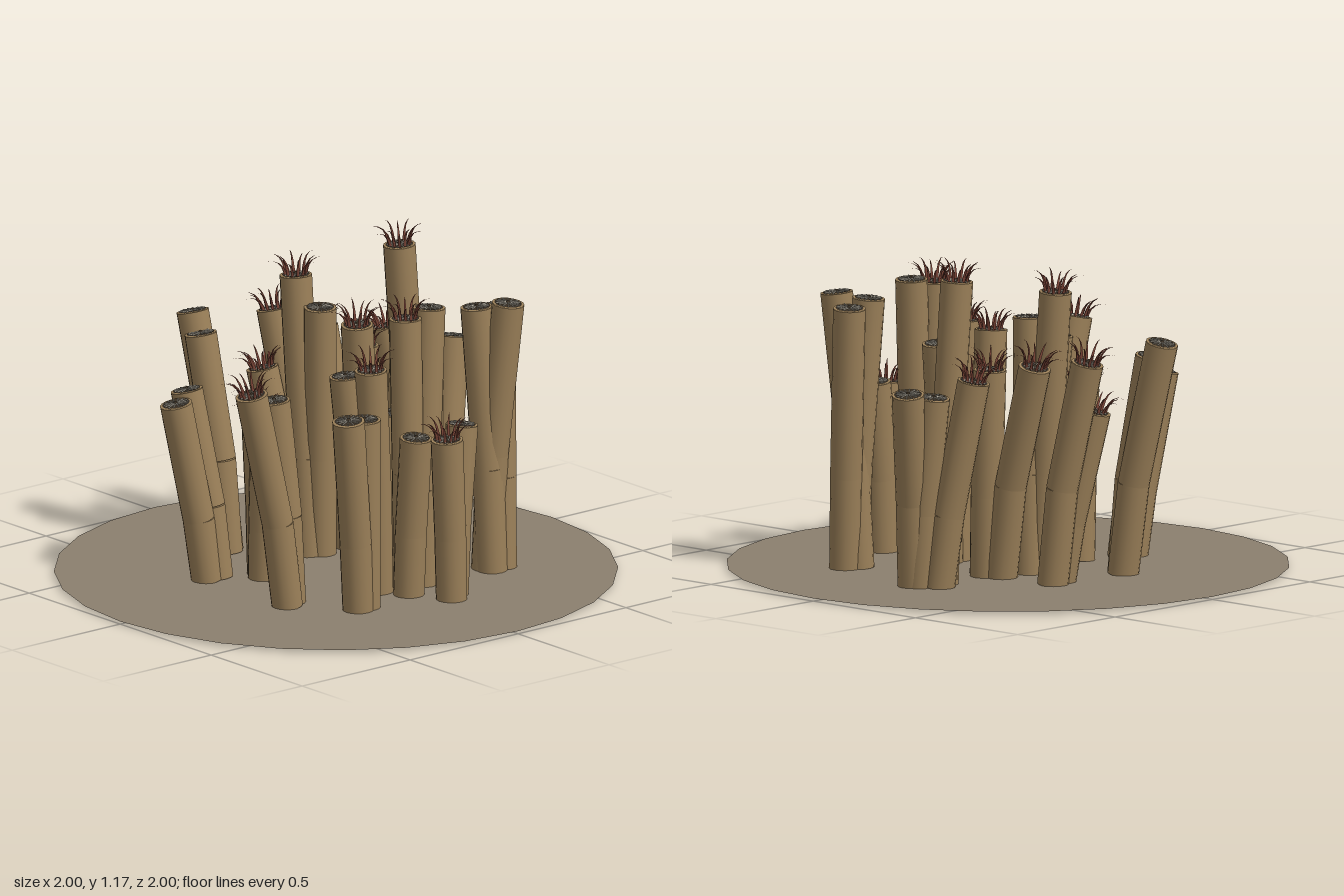
import * as THREE from 'three';
import { mergeGeometries } from 'three/addons/utils/BufferGeometryUtils.js';

const R = 0.058;

// Tube clusters: each tube is [topX, topY, topZ, baseX, baseZ, hasTentacles]
const CLUSTERS = {
  frontRight: [
    [-0.25, 0.67, 0.53, -0.2, 0.43, 0], [-0.31, 0.69, 0.43, -0.2, 0.38, 0],
  ],
  frontCentre: [
    [-0.1, 0.62, 0.28, -0.13, 0.23, 1], [-0.05, 0.56, 0.28, -0.09, 0.26, 0],
  ],
  frontLeft: [
    [0.2, 0.81, 0.56, 0.23, 0.42, 1], [0.17, 0.76, 0.43, 0.2, 0.38, 0],
  ],
  leftFront: [
    [0.46, 0.73, 0.33, 0.43, 0.26, 0], [0.43, 0.71, 0.23, 0.42, 0.22, 0],
  ],
  leftCentre: [
    [0.31, 0.84, 0.1, 0.3, 0.06, 1], [0.23, 0.81, 0.15, 0.27, 0.1, 0],
    [0.44, 0.6, 0.0, 0.4, 0.0, 0], [0.31, 1.0, -0.06, 0.34, -0.05, 1],
    [0.31, 1.02, -0.17, 0.33, -0.12, 0],
  ],
  leftOuter: [
    [0.55, 0.61, -0.05, 0.54, -0.08, 1], [0.49, 0.63, -0.17, 0.5, -0.12, 0],
  ],
  leftInner: [
    [0.16, 0.81, -0.19, 0.18, -0.12, 0], [0.19, 0.62, -0.08, 0.19, -0.07, 0],
  ],
  backLeft: [
    [0.4, 1.0, -0.46, 0.33, -0.42, 0], [0.29, 0.96, -0.51, 0.35, -0.47, 0],
    [0.31, 0.98, -0.39, 0.36, -0.42, 0],
  ],
  backCentre: [
    [-0.15, 1.1, -0.42, -0.12, -0.46, 1], [-0.28, 0.76, -0.47, -0.16, -0.52, 1],
    [-0.17, 0.7, -0.56, -0.1, -0.56, 0], [-0.14, 0.72, -0.66, -0.08, -0.57, 0],
  ],
  centre: [
    [-0.05, 0.88, -0.14, -0.08, -0.2, 1], [-0.15, 0.76, -0.25, -0.12, -0.24, 1],
    [-0.35, 0.79, -0.23, -0.18, -0.22, 1],
  ],
  centreRight: [
    [-0.28, 1.03, -0.05, -0.21, -0.05, 1], [-0.17, 0.93, -0.07, -0.19, -0.09, 0],
  ],
  rightBack: [
    [-0.55, 0.82, -0.17, -0.41, -0.2, 1], [-0.5, 0.63, -0.08, -0.39, -0.14, 1],
  ],
  right: [
    [-0.61, 0.86, 0.15, -0.44, 0.13, 0], [-0.53, 0.8, 0.18, -0.42, 0.15, 0],
  ],
};

// Thin radial walls inside the mouth
function septaGeometry() {
  const parts = [];
  for (let i = 0; i < 14; i++) {
    const g = new THREE.BoxGeometry(0.036, 0.008, 0.0028);
    g.translate(0.027, 0, 0);
    g.rotateY((i / 14) * Math.PI * 2);
    parts.push(g);
  }
  return mergeGeometries(parts);
}

// Ring of tapered tentacles that rise from the mouth and curl outwards
function tentacleGeometry() {
  const parts = [];
  const n = 12;
  for (let i = 0; i < n; i++) {
    const g = new THREE.ConeGeometry(0.007, 1, 5, 5);
    const reach = i % 2 ? 0.055 : 0.068;
    const height = i % 2 ? 0.085 : 0.07;
    const p = g.attributes.position;
    for (let j = 0; j < p.count; j++) {
      const t = p.getY(j) + 0.5;
      p.setX(j, p.getX(j) + 0.036 + reach * t * t);
      p.setY(j, -0.012 + height * Math.sin(t * 1.7));
    }
    g.rotateY((i / n) * Math.PI * 2);
    g.computeVertexNormals();
    parts.push(g);
  }
  return mergeGeometries(parts);
}

export function createModel() {
  const mat = (name, color) => {
    const m = new THREE.MeshStandardMaterial({ color });
    m.name = name;
    return m;
  };
  const tan = mat('tan tube', 0x9b8059);
  const dark = mat('dark mouth', 0x3a3024);
  const pale = mat('pale septa', 0xc4bdae);
  const red = mat('red brown tentacles', 0x7d4638);
  const sand = mat('sea bed', 0x8b7f6e);
  sand.side = THREE.DoubleSide;

  const model = new THREE.Group();
  const up = new THREE.Vector3(0, 1, 0);
  const add = (parent, name, geo, material, y = 0) => {
    const m = new THREE.Mesh(geo, material);
    m.name = name;
    m.position.y = y;
    parent.add(m);
    return m;
  };

  // Flat ground disc
  const bed = add(model, 'seaBed', new THREE.CircleGeometry(1, 28), sand, 0.015);
  bed.rotation.set(-Math.PI / 2, 0, Math.PI / 2);

  // Shared mouth parts
  const rimGeo = new THREE.RingGeometry(R * 0.84, R, 16).rotateX(-Math.PI / 2);
  const mouthGeo = new THREE.CircleGeometry(R * 0.86, 16).rotateX(-Math.PI / 2);
  const hubGeo = new THREE.SphereGeometry(0.01, 8, 4);
  const septaGeo = septaGeometry();
  const tentacleGeo = tentacleGeometry();

  // Straight cylinder between two points
  function segment(parent, name, a, b, r0, r1) {
    const dir = b.clone().sub(a);
    const m = add(parent, name, new THREE.CylinderGeometry(r1, r0, dir.length(), 16), tan);
    m.position.copy(a).add(b).multiplyScalar(0.5);
    m.quaternion.setFromUnitVectors(up, dir.normalize());
    return m;
  }

  let count = 0;
  for (const [clusterName, tubes] of Object.entries(CLUSTERS)) {
    const cluster = new THREE.Group();
    cluster.name = clusterName + 'Cluster';
    for (const [tx, ty, tz, bx, bz, open] of tubes) {
      const base = new THREE.Vector3(bx, 0.014, bz);
      const top = new THREE.Vector3(tx, ty, tz);
      const bend = 0.36 + 0.04 * (count % 3);
      const mid = base.clone().lerp(top, 0.27);
      mid.y = ty * bend;
      const tube = new THREE.Group();
      tube.name = 'tube';
      segment(tube, 'lowerTube', base, mid, R * 0.96, R * 0.98);
      const upper = segment(tube, 'upperTube', mid, top, R * 0.98, R);

      // Mouth, aligned with the upper segment
      const mouth = new THREE.Group();
      mouth.name = 'polyp';
      mouth.position.copy(top);
      mouth.quaternion.copy(upper.quaternion);
      mouth.rotateY(count * 0.7);
      add(mouth, 'rim', rimGeo, tan, 0.002);
      add(mouth, 'mouthDisc', mouthGeo, dark, 0.003);
      add(mouth, 'septa', septaGeo, pale, 0.003);
      add(mouth, 'hub', hubGeo, dark, 0.002);
      if (open) add(mouth, 'tentacles', tentacleGeo, red);
      tube.add(mouth);
      cluster.add(tube);
      count++;
    }
    model.add(cluster);
  }
  return model;
}
